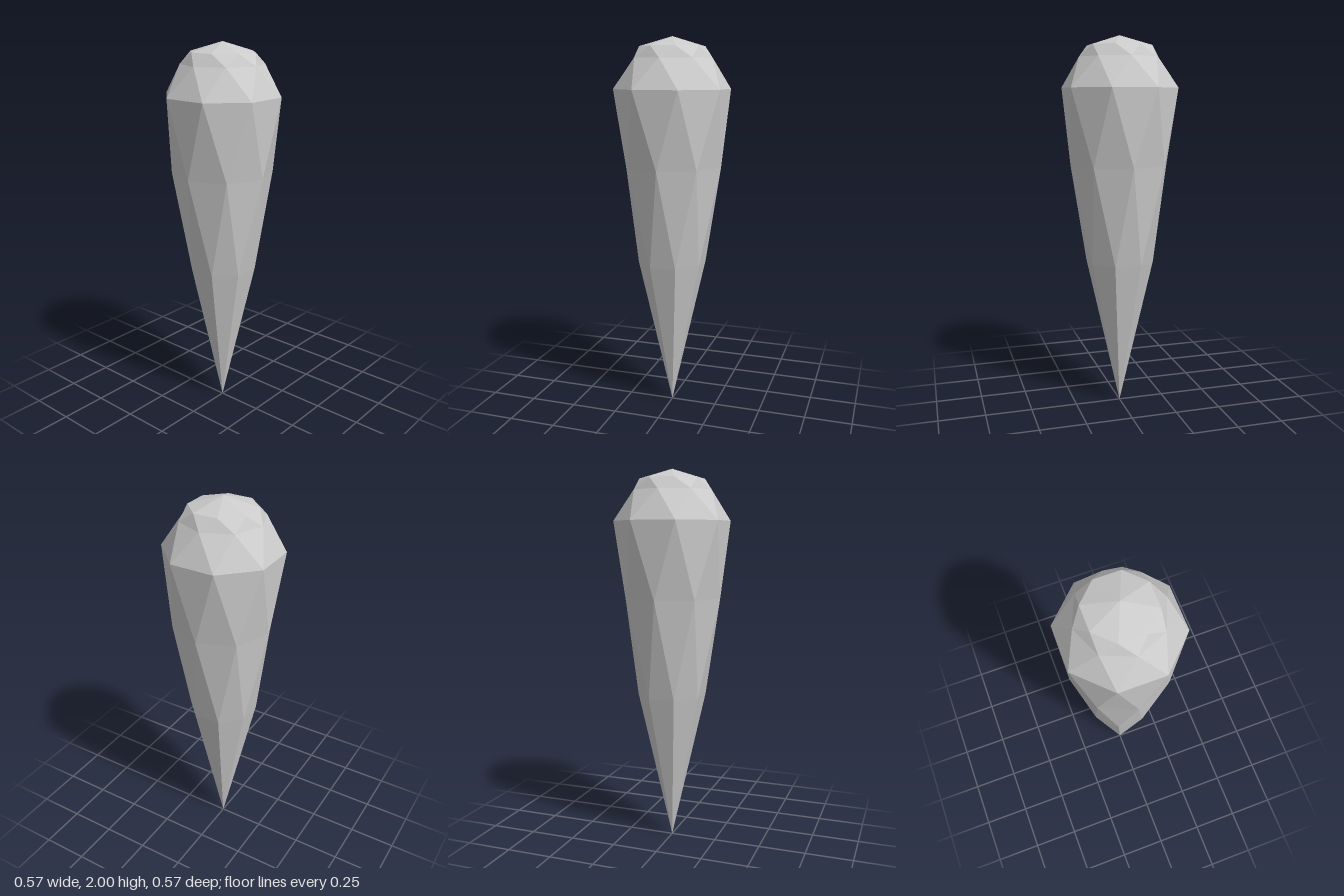
import * as THREE from 'three';

const SIDES = 8;

// Rings from crown to tip: [height, radius]; every other ring turns half a step
const RINGS = [
  [2.0, 0], [1.95, 0.171], [1.89, 0.215], [1.735, 0.308],
  [1.335, 0.266], [0.81, 0.183], [0, 0],
];

function ringPoint(k, i) {
  const [y, r] = RINGS[k];
  const a = ((i + (k % 2) / 2) * Math.PI * 2) / SIDES;
  return [r * Math.cos(a), y, r * Math.sin(a)];
}

// Faceted shell: bands of alternating up and down triangles
function shellGeometry() {
  const pos = [];
  for (let k = 0; k < RINGS.length - 1; k++) {
    const odd = k % 2;
    for (let i = 0; i < SIDES; i++) {
      // edge on the upper ring, corner on the lower ring
      if (RINGS[k][1] > 0) {
        pos.push(...ringPoint(k, i), ...ringPoint(k, i + 1), ...ringPoint(k + 1, i + odd));
      }
      // edge on the lower ring, corner on the upper ring
      if (RINGS[k + 1][1] > 0) {
        pos.push(...ringPoint(k + 1, i), ...ringPoint(k, i + 1 - odd), ...ringPoint(k + 1, i + 1));
      }
    }
  }
  const geo = new THREE.BufferGeometry();
  geo.setAttribute('position', new THREE.Float32BufferAttribute(pos, 3));
  geo.computeVertexNormals();
  return geo;
}

export function createModel() {
  const group = new THREE.Group();
  group.name = 'facetedSpike';
  const material = new THREE.MeshStandardMaterial({ color: 0xcccccc, flatShading: true });
  const shell = new THREE.Mesh(shellGeometry(), material);
  shell.name = 'crystalBody';
  group.add(shell);
  return group;
}
